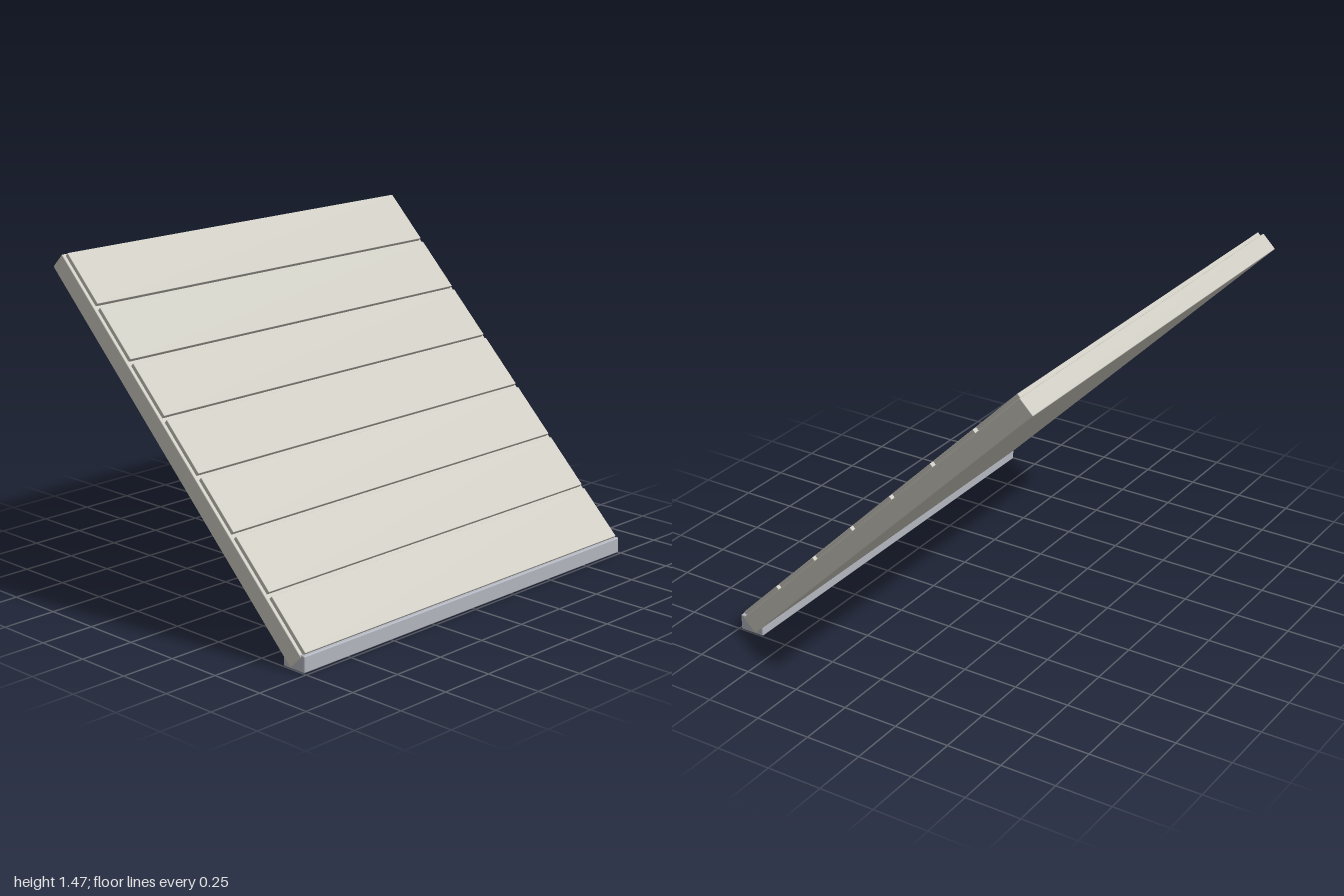
import * as THREE from 'three';
import { RoundedBoxGeometry } from 'three/addons/geometries/RoundedBoxGeometry.js';

const panelGrey = new THREE.MeshStandardMaterial({ color: 0xcccac0 });
const footGrey = new THREE.MeshStandardMaterial({ color: 0xb4b7c0 });

// Box between two corners with finely eased edges
function block(name, min, max, bevel, material) {
  const size = max.map((v, i) => v - min[i]);
  const mesh = new THREE.Mesh(new RoundedBoxGeometry(...size, 2, bevel), material);
  mesh.position.set(...max.map((v, i) => (v + min[i]) / 2));
  mesh.name = name;
  return mesh;
}

export function createModel() {
  const model = new THREE.Group();
  model.name = 'slopedPanel';

  // Everything on the slope is built flat: y is the panel normal, -z runs uphill
  const slope = new THREE.Group();
  slope.name = 'slope';
  slope.rotation.x = Math.PI / 4;
  model.add(slope);

  // Backing slab
  const r = Math.SQRT1_2;
  const slabTop = 0.785 * r;
  slope.add(block('backingSlab', [-1, 0.665 * r, -2.135 * r], [1, slabTop, 0.66 * r], 0.004, panelGrey));

  // Seven boards with narrow gaps
  for (let i = 0; i < 7; i++) {
    const low = (0.65 - 0.4 * i) * r;
    slope.add(block('board' + (i + 1), [-0.985, slabTop - 0.006, low - 0.372 * r], [0.985, 0.811 * r, low], 0.002, panelGrey));
  }

  // Foot bar under the lower edge
  model.add(block('footBar', [-0.998, 0, 0.622], [0.998, 0.072, 0.738], 0.006, footGrey));
  return model;
}
